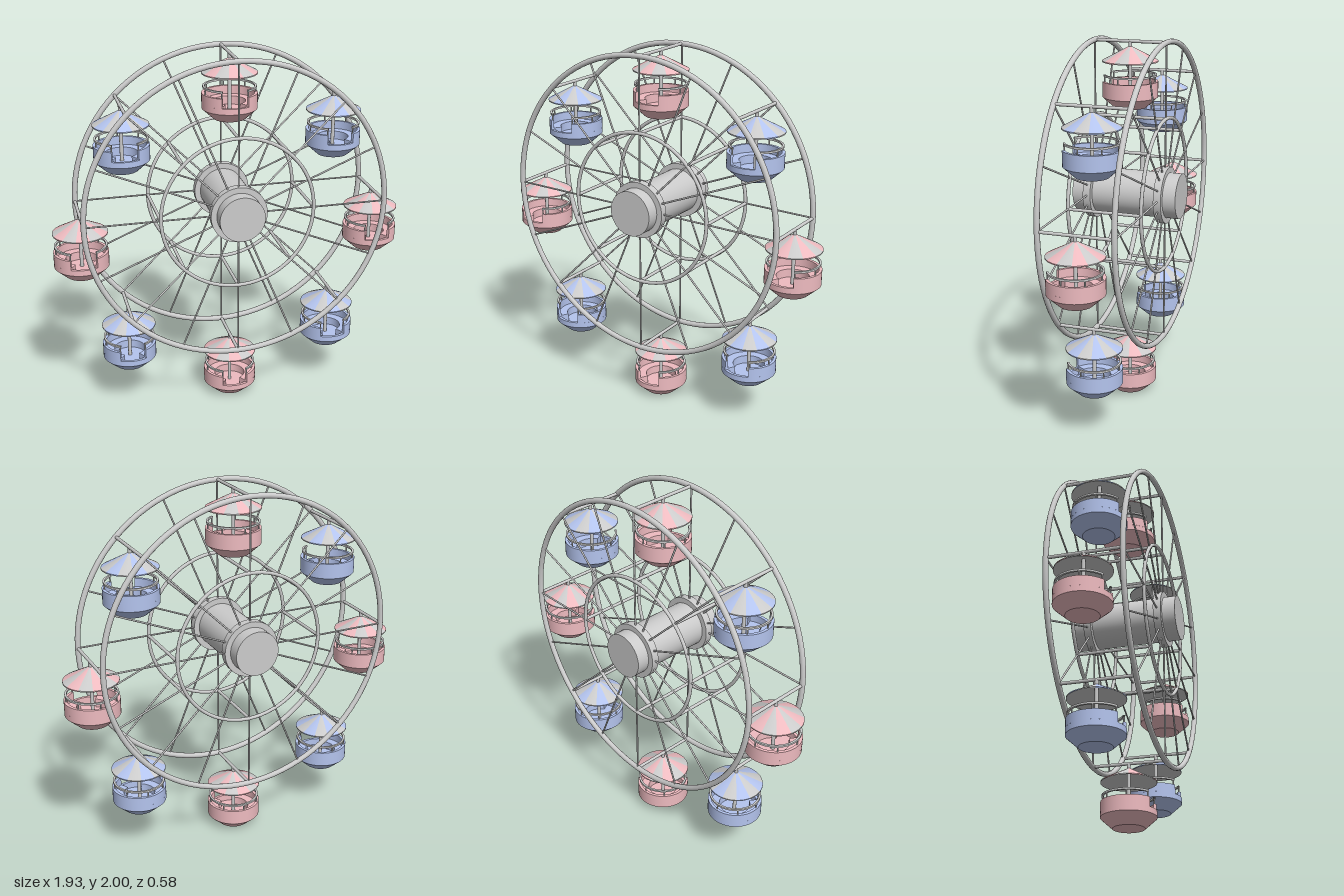
import * as THREE from 'three';

const mat = (color) => new THREE.MeshStandardMaterial({ color, side: THREE.DoubleSide });
const grey = mat(0xcccccc), pink = mat(0xeebbc0), blue = mat(0xb4c4ee);

const AXLE_Y = 1.167, RIM_R = 0.818, INNER_R = 0.416, RIM_Z = 0.198;
const DOOR = 0.5; // half angle of the doorway, which faces +z

function add(parent, name, geometry, material = grey) {
  const mesh = new THREE.Mesh(geometry, material);
  mesh.name = name;
  parent.add(mesh);
  return mesh;
}

// Straight round bar between two points
function bar(parent, name, a, b, radius, sides = 10) {
  const dir = b.clone().sub(a);
  const mesh = add(parent, name, new THREE.CylinderGeometry(radius, radius, dir.length(), sides));
  mesh.position.copy(a).addScaledVector(dir, 0.5);
  mesh.quaternion.setFromUnitVectors(new THREE.Vector3(0, 1, 0), dir.normalize());
  return mesh;
}

// Revolved profile with hard edges: one band for each pair of points
function turned(parent, name, profile, material, start = 0, sweep = Math.PI * 2, segments = 40) {
  const group = new THREE.Group();
  group.name = name;
  for (let i = 0; i < profile.length - 1; i++) {
    const pts = [profile[i], profile[i + 1]].map(([r, y]) => new THREE.Vector2(r, y));
    add(group, name + 'Band', new THREE.LatheGeometry(pts, segments, start, sweep), material);
  }
  parent.add(group);
  return group;
}

// Flat end face closing a partial revolved profile
function endCap(parent, name, outline, angle, material) {
  const shape = new THREE.Shape(outline.map(([r, y]) => new THREE.Vector2(r, y)));
  add(parent, name, new THREE.ShapeGeometry(shape), material).rotation.y = angle - Math.PI / 2;
}

function gondola(color) {
  const car = new THREE.Group();
  car.name = 'gondola';
  const wallSweep = Math.PI * 2 - 2 * DOOR;

  // Tub: tapered base with low sill and floor, then walls with a doorway
  turned(car, 'tubBase', [[0, 0], [0.085, 0], [0.148, 0.057], [0.148, 0.088], [0.132, 0.088], [0.132, 0.05], [0, 0.05]], color);
  const wall = [[0.148, 0.088], [0.148, 0.14], [0.132, 0.14], [0.132, 0.088]];
  turned(car, 'tubWall', wall, color, DOOR, wallSweep);
  for (const s of [-1, 1]) endCap(car, 'doorEdge', wall, s * DOOR, color);

  // Curved bench inside
  const bench = [[0.132, 0.095], [0.085, 0.095], [0.085, 0.05]];
  turned(car, 'bench', bench, color, DOOR, wallSweep);
  for (const s of [-1, 1]) endCap(car, 'benchEnd', [...bench, [0.132, 0.05]], s * DOOR, color);

  // Hand rail on posts
  turned(car, 'handRail', [[0.131, 0.167], [0.142, 0.167], [0.142, 0.177], [0.131, 0.177], [0.131, 0.167]], grey, DOOR, wallSweep);
  for (let i = 0; i < 7; i++) {
    const a = DOOR + 0.03 + (wallSweep - 0.06) * i / 6;
    const x = 0.137 * Math.sin(a), z = 0.137 * Math.cos(a);
    bar(car, 'railPost', new THREE.Vector3(x, 0.135, z), new THREE.Vector3(x, 0.17, z), 0.004, 8);
  }

  // Centre pole up to the hanging bar
  bar(car, 'pole', new THREE.Vector3(0, 0.05, 0), new THREE.Vector3(0, AXLE_Y - AXLE_Y + 0.349, 0), 0.01, 14);

  // Striped conical canopy
  const wedges = 12, step = Math.PI * 2 / wedges;
  for (let i = 0; i < wedges; i++) {
    turned(car, 'canopyPanel', [[0.148, 0.243], [0.148, 0.249], [0, 0.327]], i % 2 ? grey : color, (i - 0.5) * step, step, 4);
  }
  turned(car, 'canopyUnderside', [[0, 0.312], [0.148, 0.243]], grey);
  return car;
}

export function createModel() {
  const model = new THREE.Group();
  model.name = 'ferrisWheel';
  const wheel = new THREE.Group();
  wheel.name = 'wheel';
  wheel.position.y = AXLE_Y;
  model.add(wheel);
  const polar = (r, a, z) => new THREE.Vector3(r * Math.cos(a), r * Math.sin(a), z);

  // Axle drum
  add(wheel, 'axle', new THREE.CylinderGeometry(0.123, 0.123, 0.58, 48)).rotation.x = Math.PI / 2;

  // Two side frames: rings, hub flange and spokes
  for (const z of [-RIM_Z, RIM_Z]) {
    add(wheel, 'outerRing', new THREE.TorusGeometry(RIM_R, 0.015, 12, 96)).position.z = z;
    add(wheel, 'innerRing', new THREE.TorusGeometry(INNER_R, 0.01, 10, 72)).position.z = z;
    const flange = add(wheel, 'hubFlange', new THREE.CylinderGeometry(0.154, 0.154, 0.042, 48));
    flange.rotation.x = Math.PI / 2;
    flange.position.z = z;
    for (let i = 0; i < 16; i++) {
      const a = i * Math.PI / 8;
      bar(wheel, 'spoke', polar(0.12, a, z), polar(RIM_R, a, z), 0.005, 8);
    }
  }

  // Cross bars joining the frames, with a gondola hung from each outer one
  for (let i = 0; i < 8; i++) {
    const a = i * Math.PI / 4;
    for (const r of [RIM_R, INNER_R]) {
      bar(wheel, 'crossBar', polar(r, a, -RIM_Z), polar(r, a, RIM_Z), 0.009);
    }
    const car = gondola(i % 2 ? blue : pink);
    car.position.copy(polar(RIM_R, a, 0));
    car.position.y += AXLE_Y - 0.349;
    model.add(car);
  }
  return model;
}
